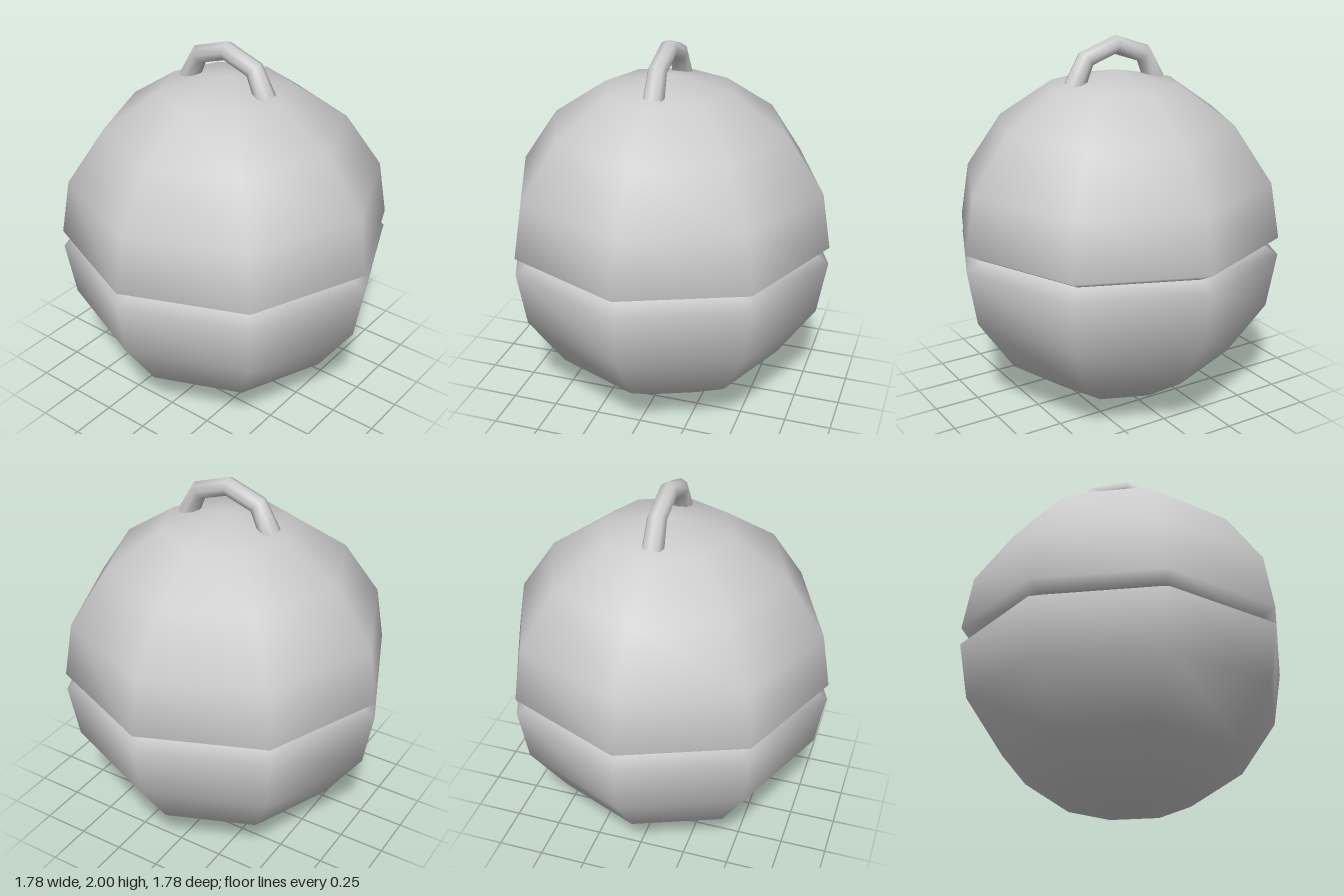
import * as THREE from 'three';
import { mergeVertices } from 'three/addons/utils/BufferGeometryUtils.js';

const material = new THREE.MeshStandardMaterial({ color: 0xcccccc, side: THREE.DoubleSide });
const SIDES = 8;
const MID = 0.91;

// Half profile from the groove out to the pole: [radius, distance from the groove plane]
const HALF = [[0.80, 0], [0.89, 0.047], [0.84, 0.345], [0.64, 0.64], [0.35, 0.838], [0, 0.91]];

// Weld the seam and poles so the shading runs smoothly around the shell
function smooth(geometry) {
  geometry.deleteAttribute('normal');
  geometry.deleteAttribute('uv');
  const welded = mergeVertices(geometry, 1e-4);
  welded.computeVertexNormals();
  return welded;
}

function shell(name, direction) {
  const points = HALF.map(([r, d]) => new THREE.Vector2(r, MID + direction * d));
  if (direction < 0) points.reverse(); // always run upwards so faces point out
  const mesh = new THREE.Mesh(smooth(new THREE.LatheGeometry(points, SIDES)), material);
  mesh.name = name;
  return mesh;
}

// Angular path with one ring of the tube at each corner
class CornerPath extends THREE.Curve {
  constructor(points) {
    super();
    this.points = points;
  }
  getPoint(t, target = new THREE.Vector3()) {
    const n = this.points.length - 1;
    const i = Math.min(Math.floor(t * n + 1e-9), n - 1);
    return target.lerpVectors(this.points[i], this.points[i + 1], t * n - i);
  }
  getPointAt(u, target) { return this.getPoint(u, target); }
  getTangentAt(u, target) { return this.getTangent(u, target); }
}

function createHandle() {
  const corners = [[0.245, 1.75], [0.175, 1.89], [0, 1.95], [-0.175, 1.89], [-0.245, 1.75]]
    .map(([z, y]) => new THREE.Vector3(0, y, z));
  const geometry = new THREE.TubeGeometry(new CornerPath(corners), 4, 0.05, SIDES);

  // Flare the two feet a little
  const position = geometry.attributes.position;
  const ring = SIDES + 1;
  const v = new THREE.Vector3();
  for (const index of [0, 4]) {
    for (let i = index * ring; i < (index + 1) * ring; i++) {
      v.fromBufferAttribute(position, i).sub(corners[index]).multiplyScalar(1.15).add(corners[index]);
      position.setXYZ(i, v.x, v.y, v.z);
    }
  }
  const mesh = new THREE.Mesh(smooth(geometry), material);
  mesh.name = 'handle';
  return mesh;
}

export function createModel() {
  const group = new THREE.Group();
  group.name = 'roundContainer';
  group.add(shell('lowerShell', -1), shell('upperShell', 1), createHandle());
  return group;
}
